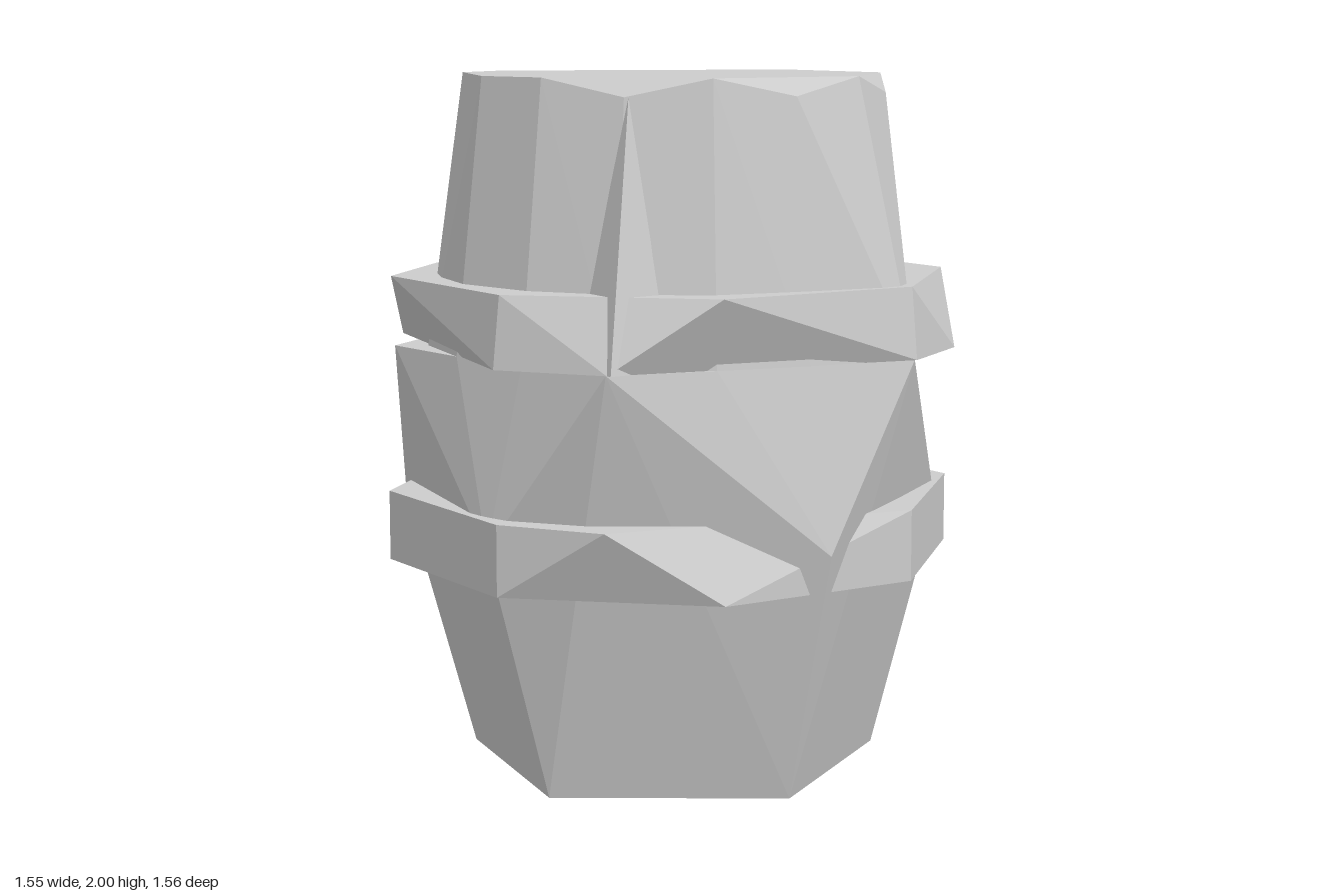
import * as THREE from 'three';
import { ConvexGeometry } from 'three/addons/geometries/ConvexGeometry.js';

// Turns [x, z] pairs into points at height y
const level = (y, pairs) => pairs.map(([x, z]) => new THREE.Vector3(x, y, z));

// Regular loop of [x, z] pairs
function loop(n, r, dx, dz) {
  const out = [];
  for (let i = 0; i < n; i++) {
    const a = (i / n) * Math.PI * 2;
    out.push([dx + r * Math.sin(a), dz + r * Math.cos(a)]);
  }
  return out;
}

export function createModel() {
  const group = new THREE.Group();
  const material = new THREE.MeshStandardMaterial({ color: 0xcccccc, flatShading: true });

  // Each faceted solid is skinned over its cross-sections
  function addSolid(name, ...levels) {
    const mesh = new THREE.Mesh(new ConvexGeometry(levels.flat()), material);
    mesh.name = name;
    group.add(mesh);
  }

  const shoulder = level(1.23, loop(16, 0.703, -0.01, -0.01));

  // Lower body: six-sided foot, wide belly, corners reaching the upper hoop
  addSolid('lowerBody',
    level(0, [[0, 0.59], [0.56, 0.22], [0.6, -0.01], [0.22, -0.57], [-0.43, -0.44], [-0.56, 0.22]]),
    level(0.72, [[0, 0.78], [0.73, 0.3], [0.73, -0.3], [0.24, -0.72], [-0.59, -0.56], [-0.74, 0.2]]),
    level(1.23, [[0.31, 0.735], [-0.58, 0.565], [0.575, -0.59], [-0.74, -0.33]]),
    shoulder);

  // Upper body: tapers to a bevelled, slightly uneven lid
  addSolid('upperBody',
    shoulder,
    level(1.23, [[0.31, 0.735]]),
    level(1.95, loop(8, 0.615, 0, -0.01)),
    level(2, [[-0.24, 0.56], [0.24, 0.56], [0.57, 0.22], [0.57, -0.25],
      [-0.24, -0.59], [-0.44, -0.46], [-0.62, -0.02], [-0.57, 0.22]]));

  // Narrow ridges on two opposite corners of the upper body
  for (const s of [1, -1]) {
    addSolid('cornerRidge',
      level(1.95, [[0.43 * s, -0.44 * s]]),
      level(1.23, [[0.58 * s, -0.59 * s], [0.38 * s, -0.57 * s], [0.57 * s, -0.38 * s]]));
  }

  // Upper hoop: octagon on top, pushed-out corners underneath
  addSolid('upperHoop',
    level(1.43, [[-0.31, 0.72], [0.31, 0.72], [0.74, 0.3], [0.74, -0.33],
      [0.31, -0.76], [-0.31, -0.76], [-0.75, -0.33], [-0.75, 0.3]]),
    level(1.23, [[-0.58, 0.57], [0.31, 0.745], [0.58, 0.57], [0.78, -0.33],
      [0.59, -0.6], [-0.31, -0.78], [-0.58, -0.59], [-0.77, 0.3]]));

  // Lower hoop: octagon with two opposite corners sheared at the top
  addSolid('lowerHoop',
    level(0.81, [[-0.59, 0.57], [0.31, 0.73], [0.765, 0.3], [0.765, -0.33],
      [0.59, -0.6], [-0.31, -0.76], [-0.765, -0.33], [-0.765, 0.3]]),
    level(0.61, [[-0.31, 0.73], [0.31, 0.73], [0.765, 0.3], [0.765, -0.33],
      [0.31, -0.76], [-0.31, -0.76], [-0.765, -0.33], [-0.765, 0.3]]));

  return group;
}
